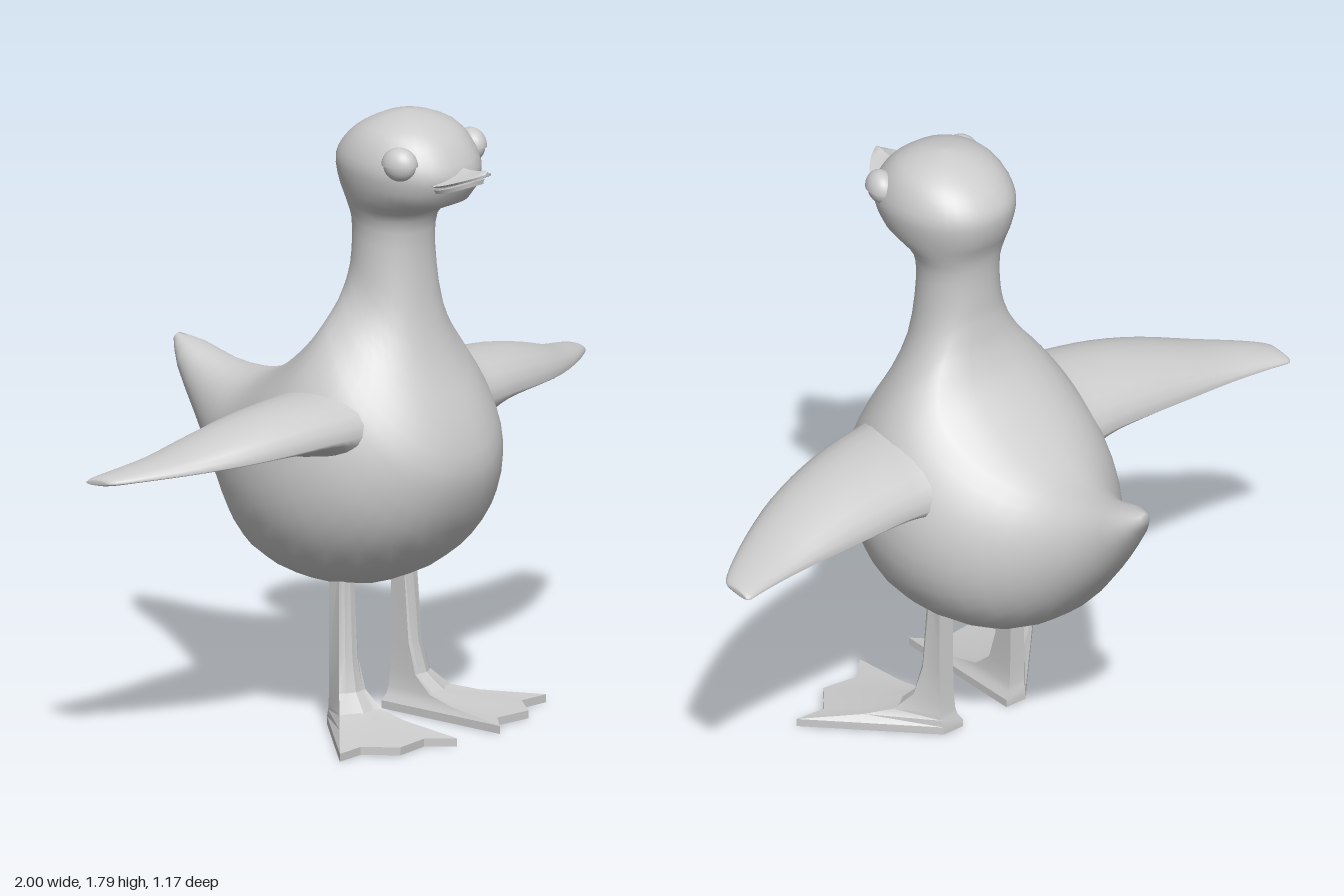
import * as THREE from 'three';
import { toCreasedNormals } from 'three/addons/utils/BufferGeometryUtils.js';

const material = new THREE.MeshStandardMaterial({ color: 0xcccccc });

// Closed skin through rings of [x, y, z] points, always wound outwards
function loft(rings, crease) {
  const n = rings[0].length, last = (rings.length - 1) * n;
  const pts = rings.flat(), index = [];
  for (let r = 0; r < rings.length - 1; r++) {
    for (let i = 0; i < n; i++) {
      const a = r * n + i, b = r * n + (i + 1) % n;
      index.push(a, b, b + n, a, b + n, a + n);
    }
  }
  for (let i = 1; i < n - 1; i++) {
    index.push(0, i + 1, i, last, last + i, last + i + 1);
  }
  let volume = 0;
  const v = (i) => new THREE.Vector3(...pts[i]);
  for (let i = 0; i < index.length; i += 3) {
    volume += v(index[i]).dot(v(index[i + 1]).cross(v(index[i + 2])));
  }
  if (volume < 0) index.reverse();
  const geo = new THREE.BufferGeometry();
  geo.setAttribute('position', new THREE.Float32BufferAttribute(pts.flat(), 3));
  geo.setIndex(index);
  geo.computeVertexNormals();
  return crease === undefined ? geo : toCreasedNormals(geo, crease);
}

// Smoothly resample rows of numbers
function smoothRows(rows, steps) {
  const out = [];
  const at = (i) => rows[Math.min(rows.length - 1, Math.max(0, i))];
  for (let r = 0; r < rows.length - 1; r++) {
    for (let s = 0; s < steps; s++) {
      const t = s / steps;
      out.push(rows[r].map((p1, k) => {
        const p0 = at(r - 1)[k], p2 = at(r + 1)[k], p3 = at(r + 2)[k];
        return p1 + 0.5 * t * (p2 - p0 + t * (2 * p0 - 5 * p1 + 4 * p2 - p3 + t * (3 * (p1 - p2) + p3 - p0)));
      }));
    }
  }
  out.push(rows[rows.length - 1]);
  return out;
}

function angles(n, fn) {
  return Array.from({ length: n }, (_, i) => fn(Math.cos(i / n * Math.PI * 2), Math.sin(i / n * Math.PI * 2)));
}

function add(parent, name, geo) {
  const mesh = new THREE.Mesh(geo, material);
  mesh.name = name;
  parent.add(mesh);
  return mesh;
}

// Tail, body, neck and head: back point z, y; belly point z, y; half width
function bodyGeometry() {
  const rows = [
    [-0.575, 0.985, -0.585, 0.96, 0.015], [-0.5, 0.972, -0.545, 0.885, 0.06],
    [-0.4, 0.943, -0.46, 0.755, 0.095], [-0.3, 0.933, -0.36, 0.63, 0.15],
    [-0.21, 0.948, -0.25, 0.51, 0.22], [-0.12, 0.99, -0.12, 0.425, 0.3],
    [-0.05, 1.035, 0.05, 0.392, 0.355], [0.01, 1.085, 0.22, 0.408, 0.375],
    [0.05, 1.13, 0.36, 0.483, 0.365], [0.075, 1.17, 0.46, 0.59, 0.335],
    [0.095, 1.215, 0.515, 0.72, 0.285], [0.105, 1.25, 0.515, 0.82, 0.235],
    [0.113, 1.29, 0.475, 0.93, 0.19], [0.118, 1.32, 0.42, 1.035, 0.16],
    [0.12, 1.36, 0.37, 1.17, 0.132], [0.122, 1.41, 0.346, 1.32, 0.12],
    [0.12, 1.47, 0.341, 1.44, 0.12], [0.11, 1.52, 0.365, 1.5, 0.14],
    [0.088, 1.57, 0.46, 1.54, 0.165], [0.076, 1.63, 0.5, 1.61, 0.183],
    [0.085, 1.67, 0.49, 1.66, 0.18], [0.115, 1.71, 0.46, 1.71, 0.162],
    [0.16, 1.745, 0.415, 1.75, 0.13], [0.22, 1.774, 0.355, 1.776, 0.07],
    [0.275, 1.786, 0.295, 1.786, 0.01],
  ];
  return loft(smoothRows(rows, 2).map(([dz, dy, vz, vy, w]) => angles(36, (c, s) => {
    const x = w * Math.sign(s) * Math.abs(s) ** 0.86;
    return [x, (dy + vy) / 2 + c * (dy - vy) / 2, (dz + vz) / 2 + c * (dz - vz) / 2];
  })));
}

// Outstretched wing: x, back z, front z, base y, rise above, drop below
function wingGeometry(side) {
  const rows = [
    [0.15, -0.06, 0.38, 0.88, 0.16, 0.13], [0.28, -0.03, 0.36, 0.88, 0.125, 0.09],
    [0.38, -0.02, 0.345, 0.88, 0.118, 0.045], [0.52, -0.018, 0.315, 0.872, 0.11, 0.02],
    [0.66, -0.018, 0.27, 0.865, 0.085, 0.014], [0.8, -0.02, 0.2, 0.858, 0.05, 0.01],
    [0.92, -0.03, 0.125, 0.852, 0.03, 0.008], [0.985, -0.038, 0.075, 0.848, 0.018, 0.008],
    [1, -0.03, 0.05, 0.847, 0.008, 0.005],
  ];
  return loft(smoothRows(rows, 3).map(([x, back, front, y, up, down]) => {
    const half = (front - back) / 2;
    return angles(24, (c, s) => [side * x, y + (s > 0 ? up : down) * s + 0.1 * half * c, (back + front) / 2 + half * c]);
  }));
}

// Leg that spreads into a webbed foot with three pointed toes
function legGeometry(side) {
  const foot = [[0.08, 0.115], [0.15, 0.115], [0.435, 0.417], [0.34, 0.41], [0.27, 0.497], [0.155, 0.483], [0.09, 0.55]];
  const shin = [[0.107, 0.128], [0.155, 0.128], [0.155, 0.165], [0.15, 0.18], [0.131, 0.182], [0.112, 0.18], [0.107, 0.17]];
  const levels = [[0, 0], [0.023, 0], [0.043, 0.5], [0.062, 0.72], [0.11, 0.87], [0.2, 0.94], [0.48, 1]];
  return loft(levels.map(([y, t]) => foot.map(([x, z], i) => [
    side * THREE.MathUtils.lerp(x, shin[i][0], t), y, THREE.MathUtils.lerp(z, shin[i][1], t),
  ])), 0.4);
}

// Half of the bill: z, half width, edge y, ridge y
function billGeometry(rows, thickness) {
  return loft(smoothRows(rows, 3).map(([z, w, edge, ridge]) => {
    const arch = [-1, -0.75, -0.45, -0.2, 0, 0.2, 0.45, 0.75, 1];
    const top = arch.map((u) => [u * w, edge + (ridge - edge) * (1 - Math.abs(u)) ** 1.2, z]);
    return [...top, [w * 0.9, edge - thickness, z], [-w * 0.9, edge - thickness, z]];
  }), 0.7);
}

export function createModel() {
  const bird = new THREE.Group();
  bird.name = 'bird';
  add(bird, 'body', bodyGeometry());

  add(bird, 'upperBill', billGeometry([
    [0.37, 0.12, 1.612, 1.69], [0.46, 0.108, 1.612, 1.662], [0.5, 0.093, 1.618, 1.65],
    [0.545, 0.058, 1.632, 1.651], [0.572, 0.028, 1.642, 1.657], [0.584, 0.008, 1.648, 1.656],
  ], 0.006));
  add(bird, 'lowerBill', billGeometry([
    [0.38, 0.11, 1.598, 1.6], [0.46, 0.1, 1.599, 1.602], [0.5, 0.08, 1.605, 1.608], [0.54, 0.035, 1.618, 1.62],
  ], 0.012));

  for (const side of [1, -1]) {
    const prefix = side > 0 ? 'left' : 'right';
    add(bird, prefix + 'Wing', wingGeometry(side));
    add(bird, prefix + 'Leg', legGeometry(side));

    // Bulging eye under a half-closed lid
    const eye = new THREE.Group();
    eye.name = prefix + 'Eye';
    eye.position.set(side * 0.15, 1.668, 0.388);
    eye.rotation.y = -side * 0.25;
    add(eye, 'eyeball', new THREE.SphereGeometry(1, 24, 16)).scale.set(0.036, 0.046, 0.049);
    const lid = add(eye, 'eyelid', new THREE.SphereGeometry(1, 24, 10, 0, Math.PI * 2, 0, Math.PI / 2));
    lid.scale.set(0.042, 0.052, 0.054);
    const rim = add(eye, 'eyelidUnderside', new THREE.CircleGeometry(1, 24).rotateX(Math.PI / 2));
    rim.scale.copy(lid.scale);
    bird.add(eye);
  }
  return bird;
}
